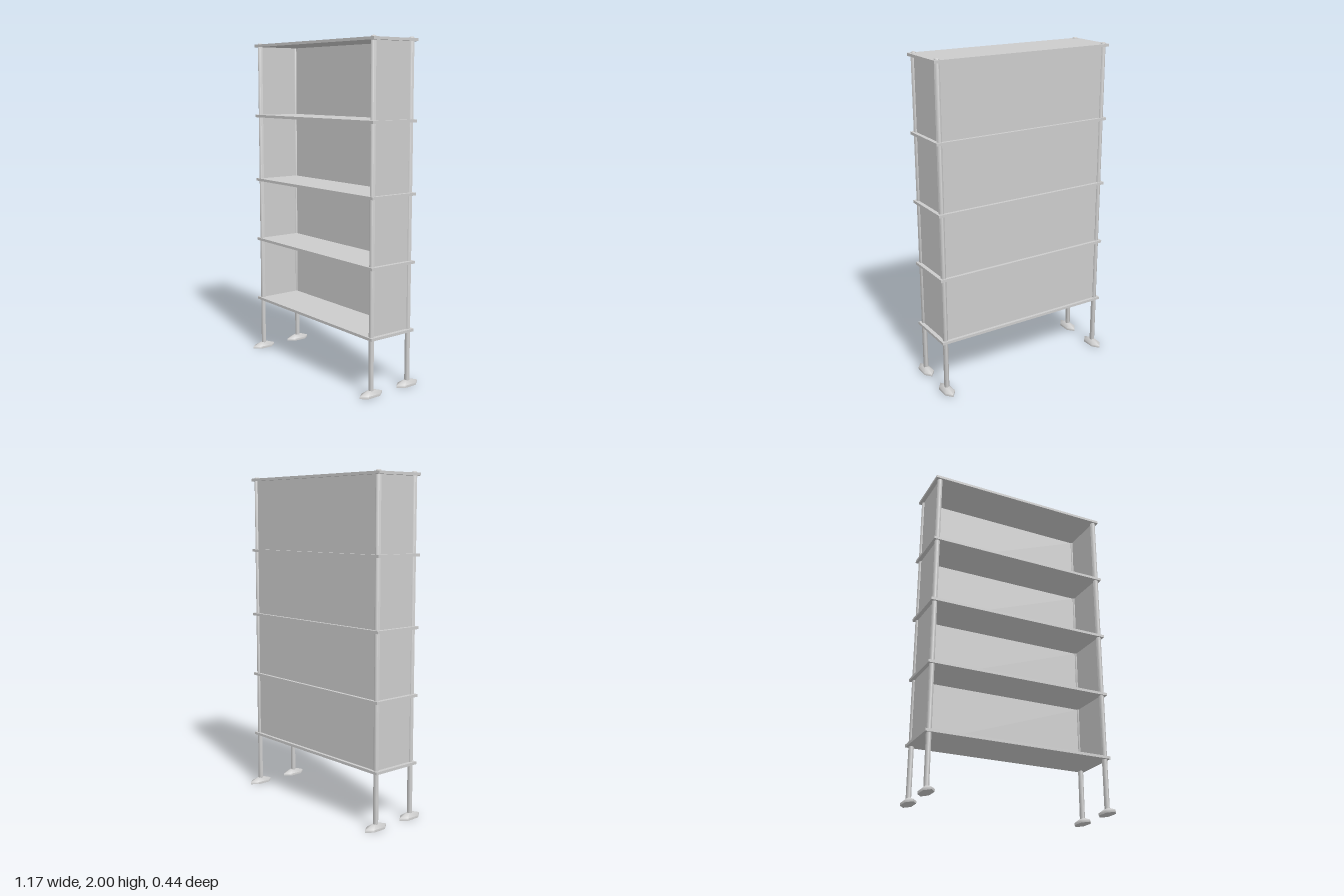
import * as THREE from 'three';
import { toCreasedNormals } from 'three/addons/utils/BufferGeometryUtils.js';

const grey = new THREE.MeshStandardMaterial({ color: 0xcccccc });
const POST_X = 0.552, POST_Z = 0.138, POST_R = 0.0155;
const SHELF_T = 0.016, PANEL_T = 0.008;
const SHELF_Y = [0.336, 0.737, 1.13, 1.541, 1.984]; // shelf centre heights

function addMesh(parent, name, geometry, x, y, z) {
  const mesh = new THREE.Mesh(geometry, grey);
  mesh.name = name;
  mesh.position.set(x, y, z);
  parent.add(mesh);
  return mesh;
}

// Six-sided turned solid with corners on the z axis
function hexTurned(profile) {
  const points = profile.map(([r, y]) => new THREE.Vector2(r, y));
  return new THREE.LatheGeometry(points, 6);
}

export function createModel() {
  const model = new THREE.Group();
  model.name = 'shelvingUnit';

  // Shelves
  const shelfGeo = new THREE.BoxGeometry(1.16, SHELF_T, 0.322);
  SHELF_Y.forEach((y, i) => addMesh(model, `shelf${i + 1}`, shelfGeo, 0, y, 0));

  // Back and side panels of each tier, set between the posts
  const inset = POST_R * 0.8;
  for (let i = 0; i < SHELF_Y.length - 1; i++) {
    const h = SHELF_Y[i + 1] - SHELF_Y[i] - SHELF_T;
    const y = (SHELF_Y[i] + SHELF_Y[i + 1]) / 2;
    const backGeo = new THREE.BoxGeometry(2 * (POST_X - inset), h, PANEL_T);
    const sideGeo = new THREE.BoxGeometry(PANEL_T, h, 2 * (POST_Z - inset));
    addMesh(model, `backPanel${i + 1}`, backGeo, 0, y, -POST_Z);
    addMesh(model, `leftPanel${i + 1}`, sideGeo, POST_X, y, 0);
    addMesh(model, `rightPanel${i + 1}`, sideGeo, -POST_X, y, 0);
  }

  // Full-height posts with a small bevelled top
  const postGeo = toCreasedNormals(hexTurned([
    [POST_R, 0.025], [POST_R, 1.996], [0.0115, 2], [0, 2],
  ]), 1.1);

  // Long pointed feet that slope up to the post
  const footShape = hexTurned([[0, 0], [1, 0], [1, 0.014], [0.35, 0.033], [0, 0.033]]);
  footShape.scale(0.0375, 1, 0.082);
  const footGeo = toCreasedNormals(footShape, 1.1);

  for (const sx of [1, -1]) {
    for (const sz of [1, -1]) {
      const corner = (sz > 0 ? 'front' : 'back') + (sx > 0 ? 'Left' : 'Right');
      addMesh(model, `${corner}Post`, postGeo, sx * POST_X, 0, sz * POST_Z);
      addMesh(model, `${corner}Foot`, footGeo, sx * POST_X, 0, sz * POST_Z);
    }
  }
  return model;
}
